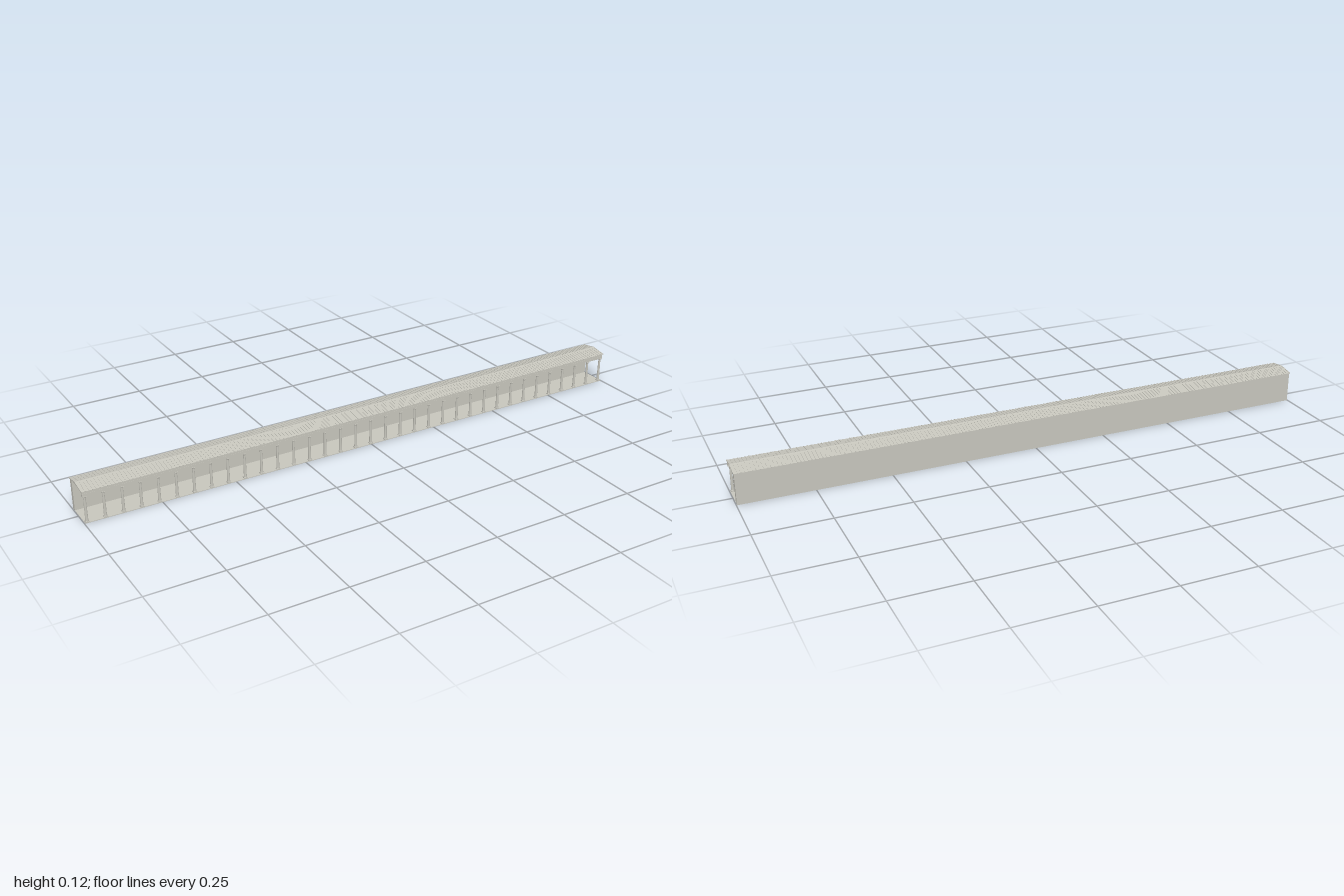
import * as THREE from 'three';
import { mergeGeometries } from 'three/addons/utils/BufferGeometryUtils.js';

export function createModel() {
  const model = new THREE.Group();
  const stone = new THREE.MeshStandardMaterial({ color: 0xc6c5bc });
  stone.name = 'pale stone';

  const add = (name, geometry) => {
    const mesh = new THREE.Mesh(geometry, stone);
    mesh.name = name;
    model.add(mesh);
    return mesh;
  };
  // Box given by its limits on each axis
  const box = (x0, x1, y0, y1, z0, z1) =>
    new THREE.BoxGeometry(x1 - x0, y1 - y0, z1 - z0)
      .translate((x0 + x1) / 2, (y0 + y1) / 2, (z0 + z1) / 2);
  // Profile in (z, y) extruded along x
  const extrudeX = (points, x0, x1) => {
    const shape = new THREE.Shape(points.map(([z, y]) => new THREE.Vector2(-z, y)));
    return new THREE.ExtrudeGeometry(shape, { depth: x1 - x0, bevelEnabled: false })
      .rotateY(Math.PI / 2).translate(x0, 0, 0);
  };

  const END = 0.998, COLUMN_Z = 0.0465, COLUMNS = 35;

  // Floor and long rear wall
  add('floor', box(-END, END, 0, 0.002, -0.051, 0.053));
  add('rearWall', box(-END, END, 0.0005, 0.106, -0.051, -0.036));

  // Beam over the columns, with a projecting cornice
  add('architrave', box(-END, END, 0.089, 0.098, 0.0425, 0.0505));
  add('frieze', box(-END, END, 0.098, 0.104, 0.043, 0.05));
  add('frontCornice', box(-END, END, 0.104, 0.107, 0.042, 0.0525));
  add('rearCornice', box(-END, END, 0.104, 0.1065, -0.0525, -0.036));

  // Row of columns: square plinth, round shaft and capital, square top slab
  const shaft = new THREE.LatheGeometry([
    [0.0058, 0.005], [0.0058, 0.0065], [0.0048, 0.0075], [0.0046, 0.03],
    [0.0038, 0.0835], [0.0042, 0.084], [0.0054, 0.087],
  ].map(([r, y]) => new THREE.Vector2(r, y)), 12);
  const plinth = box(-0.0063, 0.0063, 0, 0.005, -0.0063, 0.0063);
  const slab = box(-0.0056, 0.0056, 0.0868, 0.0895, -0.0056, 0.0056);
  const tieBeam = box(-0.003, 0.003, 0.1, 0.105, -0.037, 0.044);
  for (let i = 0; i < COLUMNS; i++) {
    const x = -0.99 + (1.98 * i) / (COLUMNS - 1);
    for (const [name, g] of [['columnShaft', shaft], ['columnPlinth', plinth], ['columnCapital', slab]]) {
      add(name, g).position.set(x, 0, COLUMN_Z);
    }
    add('tieBeam', tieBeam).position.x = x;
  }

  // Low pitched roof shell and gable ends
  add('roof', extrudeX([
    [0.054, 0.1055], [0.054, 0.107], [0, 0.1155], [-0.054, 0.107],
    [-0.054, 0.1055], [0, 0.1138],
  ], -1, 1));
  for (const side of [-1, 1]) {
    const x = side * 0.994;
    add('gable', extrudeX([[0.05, 0.1045], [0, 0.1145], [-0.05, 0.1045]], x - 0.003, x + 0.003));
  }

  // Rows of cover tiles running down both slopes
  const slope = Math.atan2(0.0085, 0.054), length = Math.hypot(0.0085, 0.054);
  const ROWS = 174, tiles = [];
  for (let i = 0; i < ROWS; i++) {
    const x = -0.9985 + (1.997 * i) / (ROWS - 1);
    for (const side of [-1, 1]) {
      tiles.push(new THREE.BoxGeometry(0.003, 0.0014, length)
        .rotateX(side * slope)
        .translate(x, 0.1117, side * 0.027));
    }
  }
  add('coverTiles', mergeGeometries(tiles));

  // Ridge cap
  add('ridgeCap', extrudeX([
    [0.004, 0.115], [0.0025, 0.1168], [0, 0.1173], [-0.0025, 0.1168], [-0.004, 0.115],
  ], -1, 1));

  return model;
}
